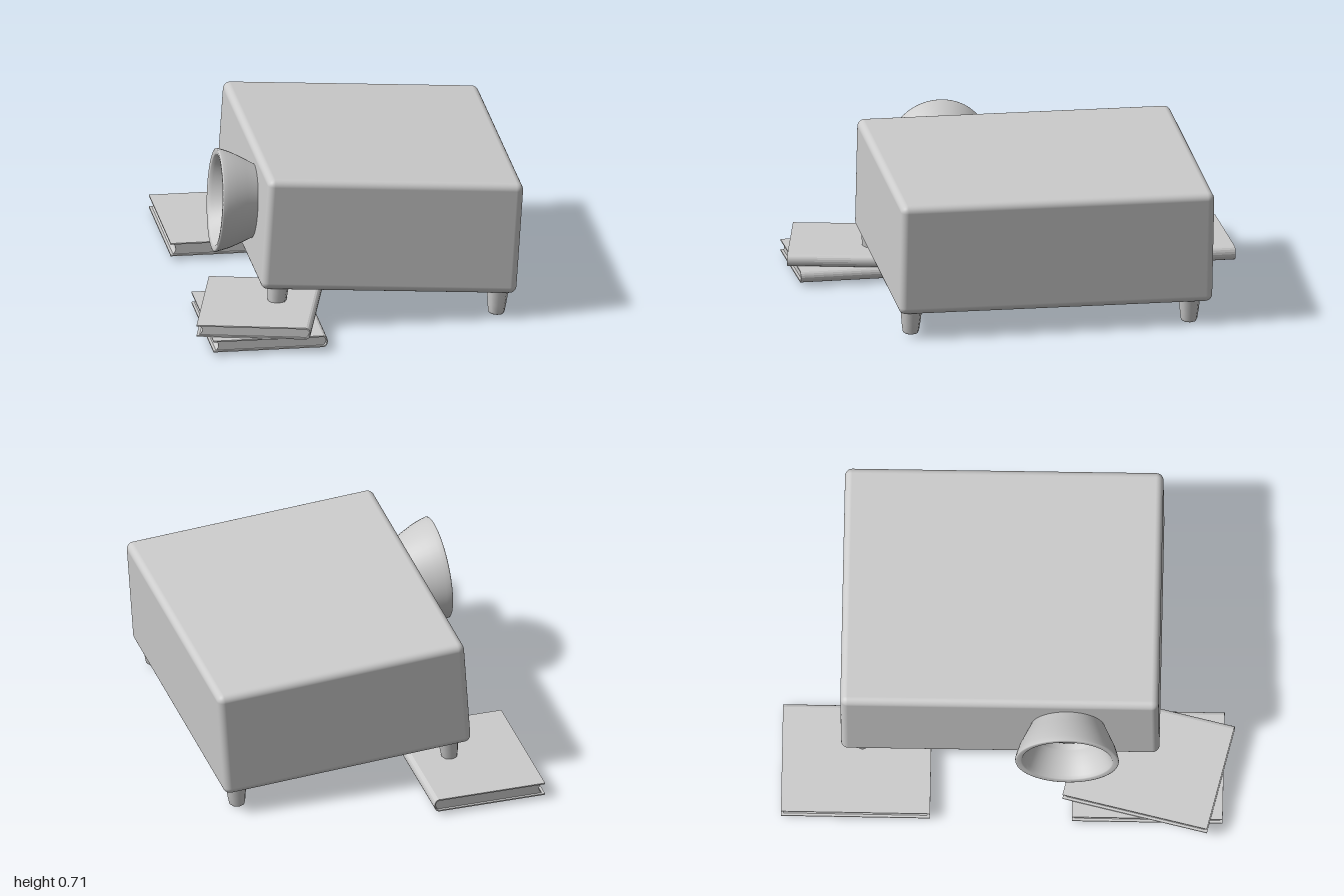
import * as THREE from 'three';
import { RoundedBoxGeometry } from 'three/addons/geometries/RoundedBoxGeometry.js';

const grey = new THREE.MeshStandardMaterial({ color: 0xcccccc, side: THREE.DoubleSide });

function add(parent, name, geometry, x = 0, y = 0, z = 0) {
  const mesh = new THREE.Mesh(geometry, grey);
  mesh.name = name;
  mesh.position.set(x, y, z);
  parent.add(mesh);
  return mesh;
}

function lathe(points, sides) {
  return new THREE.LatheGeometry(points.map(([r, y]) => new THREE.Vector2(r, y)), sides);
}

function extrude(shape, depth) {
  const geometry = new THREE.ExtrudeGeometry(shape, { depth, bevelEnabled: false, curveSegments: 8 });
  return geometry.translate(0, 0, -depth / 2);
}

// Hardback book lying flat, rounded spine towards +x, base at y = 0
function createBook(name, width, height, length) {
  const book = new THREE.Group();
  book.name = name;
  const t = 0.006, left = -width / 2, bulge = 0.02, right = width / 2 - bulge;

  // Wrap-around cover with a C-shaped section
  const cover = new THREE.Shape();
  cover.moveTo(left, 0);
  cover.lineTo(right, 0);
  cover.bezierCurveTo(right + bulge * 1.33, 0.004, right + bulge * 1.33, height - 0.004, right, height);
  cover.lineTo(left, height);
  cover.lineTo(left, height - t);
  cover.lineTo(right, height - t);
  cover.bezierCurveTo(right + bulge, height - t - 0.004, right + bulge, t + 0.004, right, t);
  cover.lineTo(left, t);
  cover.closePath();
  add(book, 'cover', extrude(cover, length));

  // Page block with a hollow fore-edge
  const pages = new THREE.Shape();
  const edge = left + 0.012;
  pages.moveTo(edge, t);
  pages.lineTo(right, t);
  pages.quadraticCurveTo(right + bulge * 1.3, height / 2, right, height - t);
  pages.lineTo(edge, height - t);
  pages.quadraticCurveTo(edge + 0.025, height / 2, edge, t);
  add(book, 'pages', extrude(pages, length - 0.024));
  return book;
}

export function createModel() {
  const model = new THREE.Group();
  model.name = 'projectorOnBooks';

  // Projector, tipped by the books under its right side
  const projector = new THREE.Group();
  projector.name = 'projector';
  projector.position.set(0.157, 0.4025, -0.04);
  projector.rotation.set(-0.009, 0, -0.068);
  model.add(projector);

  const L = 1.142, H = 0.51, D = 1.405;
  add(projector, 'body', new RoundedBoxGeometry(L, H, D, 4, 0.032));

  // Flared lens hood: outer wall, rim, then the inner bowl
  const hood = lathe([
    [0.155, -0.02], [0.166, 0.005], [0.188, 0.05], [0.211, 0.1], [0.224, 0.14],
    [0.229, 0.16], [0.228, 0.166], [0.222, 0.168], [0.205, 0.166], [0.2, 0.163],
    [0.192, 0.15], [0.178, 0.12], [0.155, 0.08], [0.135, 0.055], [0.13, 0.05], [0.13, 0.01],
  ], 48);
  add(projector, 'lensHood', hood, -L / 2, 0.03, 0.3).rotation.z = Math.PI / 2;

  // Domed glass at the bottom of the bowl
  const glass = lathe([[0.132, 0.02], [0.11, 0.031], [0.075, 0.041], [0.038, 0.047], [0, 0.049]], 48);
  add(projector, 'lensGlass', glass, -L / 2, 0.03, 0.3).rotation.z = Math.PI / 2;

  // Four tapered feet
  const foot = lathe([
    [0, -0.107], [0.028, -0.107], [0.034, -0.104], [0.037, -0.096],
    [0.042, -0.06], [0.046, -0.02], [0.049, 0.01],
  ], 8);
  for (const x of [-0.487, 0.495]) {
    for (const z of [-0.61, 0.637]) add(projector, 'foot', foot, x, -H / 2, z);
  }

  // Two stacked books under the front foot, one under the rear foot
  const lower = createBook('lowerFrontBook', 0.51, 0.053, 0.665);
  lower.position.set(-0.43, 0.016, 0.615);
  const upper = createBook('upperFrontBook', 0.505, 0.053, 0.657);
  upper.position.set(-0.43, 0.07, 0.617);
  upper.rotation.y = -0.23;
  const rear = createBook('rearBook', 0.51, 0.06, 0.657);
  rear.position.set(-0.43, 0.017, -0.672);
  model.add(lower, upper, rear);

  return model;
}
